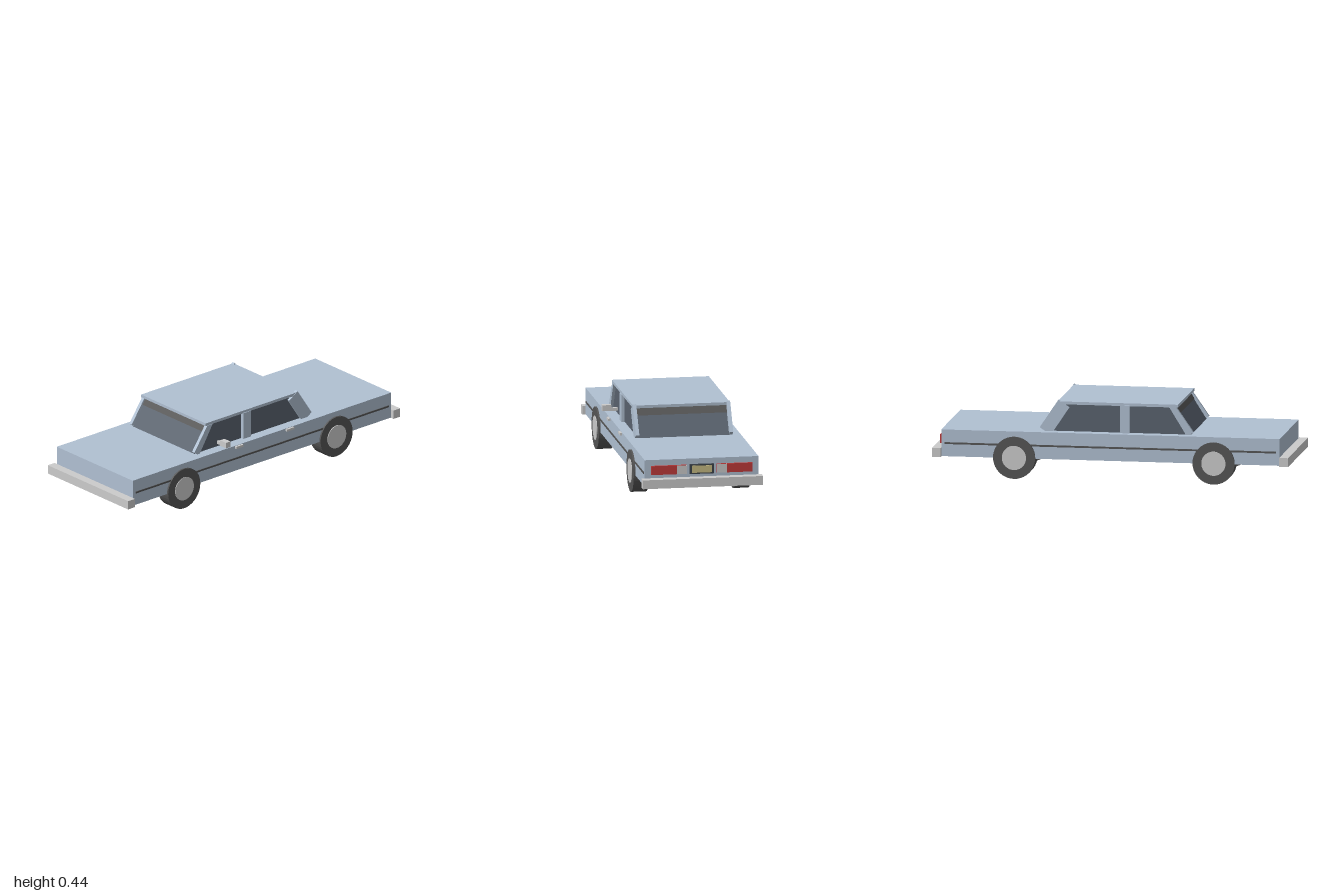
import * as THREE from 'three';

const mat = (color) => new THREE.MeshStandardMaterial({ color, flatShading: true });

export function createModel() {
  const car = new THREE.Group();
  car.name = 'sedan';
  const CX = -0.005; // body axis; the side mirror widens one side only

  const paint = mat(0xb0c0d2);
  const glass = mat(0x59626e);
  const rubber = mat(0x555555);
  const trim = mat(0xcccccc);
  const red = mat(0xc03a3a);
  const dark = mat(0x3c424a);
  const plateColor = mat(0xc8bc84);

  const add = (name, geometry, material) => {
    const mesh = new THREE.Mesh(geometry, material);
    mesh.name = name;
    car.add(mesh);
    return mesh;
  };
  // Box given by its limits; x is measured from the body axis
  const box = (name, material, x0, x1, y0, y1, z0, z1) => {
    const mesh = add(name, new THREE.BoxGeometry(x1 - x0, y1 - y0, z1 - z0), material);
    mesh.position.set(CX + (x0 + x1) / 2, (y0 + y1) / 2, (z0 + z1) / 2);
    return mesh;
  };
  // Side outline of [z, y] points, extruded across x
  const slab = (name, material, x0, x1, points) => {
    const shape = new THREE.Shape(points.map(([z, y]) => new THREE.Vector2(-z, y)));
    const geometry = new THREE.ExtrudeGeometry(shape, { depth: x1 - x0, bevelEnabled: false });
    geometry.rotateY(Math.PI / 2);
    geometry.translate(CX + x0, 0, 0);
    return add(name, geometry, material);
  };

  // Body and bumpers
  box('body', paint, -0.32, 0.32, 0.115, 0.265, -0.95, 0.95);
  box('frontBumper', trim, -0.338, 0.338, 0.112, 0.162, 0.95, 1);
  box('rearBumper', trim, -0.338, 0.338, 0.112, 0.162, -1, -0.95);

  // Cabin
  slab('cabinGlass', glass, -0.258, 0.258, [[0.445, 0.262], [-0.385, 0.262], [-0.285, 0.42], [0.345, 0.42]]);
  slab('frontSunStrip', rubber, -0.256, 0.256, [[0.376, 0.378], [0.36, 0.378], [0.33, 0.419], [0.351, 0.419]]);
  slab('rearSunStrip', rubber, -0.256, 0.256, [[-0.316, 0.378], [-0.29, 0.378], [-0.27, 0.419], [-0.291, 0.419]]);
  box('roof', paint, -0.272, 0.272, 0.417, 0.433, -0.305, 0.372);

  for (const side of [-1, 1]) {
    const [a, b] = side > 0 ? [0.254, 0.274] : [-0.274, -0.254];
    slab('frontPillar', paint, a, b, [[0.457, 0.28], [0.422, 0.256], [0.322, 0.418], [0.361, 0.418]]);
    slab('rearPillar', paint, a, b, [[-0.302, 0.44], [-0.24, 0.399], [-0.343, 0.244], [-0.405, 0.285]]);
    const [c, d] = side > 0 ? [0.25, 0.277] : [-0.277, -0.25];
    box('middlePillar', paint, c, d, 0.262, 0.42, 0.045, 0.099);

    // Rubbing strip along the flank
    const [e, f] = side > 0 ? [0.318, 0.324] : [-0.324, -0.318];
    box('sideStrip', rubber, e, f, 0.184, 0.194, -0.93, 0.93);

    // Wheels with hubs showing on both faces
    for (const z of [0.58, -0.54]) {
      for (const [name, r, w, m] of [['tire', 0.118, 0.085, rubber], ['hub', 0.068, 0.092, trim]]) {
        const geometry = new THREE.CylinderGeometry(r, r, w, 40).rotateZ(Math.PI / 2);
        add(name, geometry, m).position.set(CX + side * 0.2875, 0.118, z);
      }
    }

    // Tail lights with an inner reversing lamp
    const [g, h] = side > 0 ? [0.085, 0.285] : [-0.285, -0.085];
    box('tailLight', red, g, h, 0.182, 0.232, -0.963, -0.945);
    const [i, j] = side > 0 ? [0.085, 0.14] : [-0.14, -0.085];
    box('reversingLamp', trim, i, j, 0.183, 0.231, -0.965, -0.955);
  }

  // Number plate
  box('plateFrame', dark, -0.068, 0.068, 0.18, 0.234, -0.964, -0.945);
  box('plate', plateColor, -0.056, 0.056, 0.187, 0.227, -0.967, -0.955);

  // Mirror and door handles on the left side
  box('mirrorArm', trim, 0.255, 0.297, 0.281, 0.298, 0.262, 0.278);
  box('mirror', trim, 0.296, 0.346, 0.283, 0.316, 0.255, 0.287);
  for (const z of [0.173, -0.2]) box('doorHandle', trim, 0.315, 0.333, 0.25, 0.263, z - 0.026, z + 0.026);

  return car;
}
